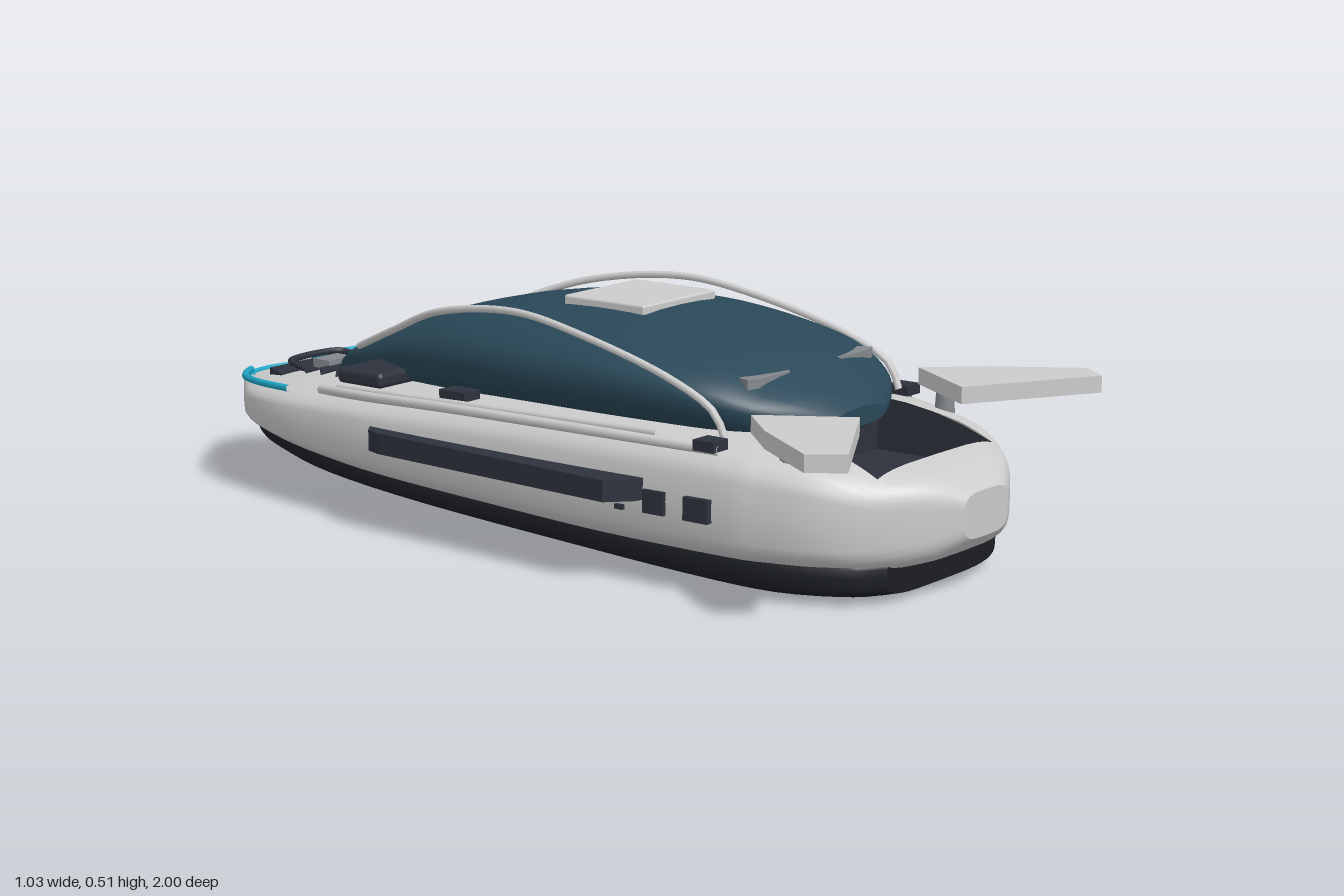
import * as THREE from 'three';
import { RoundedBoxGeometry } from 'three/addons/geometries/RoundedBoxGeometry.js';

const paint = (color) => new THREE.MeshStandardMaterial({ color });

export function createModel() {
  const group = new THREE.Group();
  const grey = paint(0xcccccc), dark = paint(0x2d323c), keelPaint = paint(0x1b1e24);
  const glass = paint(0x2a4858), cyan = paint(0x1fa9c9), lampGrey = paint(0x85898d);
  const hullPaint = paint(0xcccccc);
  hullPaint.side = dark.side = THREE.DoubleSide;

  const add = (name, geo, mat, x = 0, y = 0, z = 0) => {
    const m = new THREE.Mesh(geo, mat);
    m.name = name;
    m.position.set(x, y, z);
    group.add(m);
    return m;
  };

  // Catmull-Rom refinement of section rows
  const refine = (rows, n) => {
    const out = [];
    for (let i = 0; i < rows.length - 1; i++) {
      const [a, b, c, d] = [-1, 0, 1, 2].map((k) => rows[Math.min(Math.max(i + k, 0), rows.length - 1)]);
      for (let s = 0; s < n; s++) {
        const t = s / n;
        out.push(b.map((v, k) => v + 0.5 * t * (c[k] - a[k] + t * (2 * a[k] - 5 * v + 4 * c[k] - d[k]
          + t * (3 * (v - c[k]) + d[k] - a[k])))));
      }
    }
    out.push(rows[rows.length - 1]);
    return out;
  };

  // Superellipse sections [z, halfWidth, bottom, widest, top], from bow plate to tail.
  // Ring points 6..14 span the deck, so a well can be left open there.
  const loft = (rows, power, wellFrom, wellTo) => {
    const secs = refine(rows, 4), pos = [], index = [], N = 36;
    const ring = ([z, w, yb, ym, yt]) => {
      const a0 = Math.acos(Math.pow(Math.min(0.21, 0.85 * w) / w, power / 2));
      for (let i = 0; i < N; i++) {
        let a = Math.PI + (Math.PI * (i - 20)) / 16;
        if (i < 6) a = (a0 * i) / 6;
        else if (i < 14) a = a0 + ((Math.PI - 2 * a0) * (i - 6)) / 8;
        else if (i < 20) a = Math.PI - (a0 * (20 - i)) / 6;
        const f = (v) => Math.sign(v) * Math.pow(Math.abs(v), 2 / power);
        const s = f(Math.sin(a));
        pos.push(w * f(Math.cos(a)), ym + s * (s > 0 ? yt - ym : ym - yb), z);
      }
    };
    secs.forEach(ring);
    for (let r = 0; r < secs.length - 1; r++) {
      const zm = (secs[r][0] + secs[r + 1][0]) / 2;
      for (let i = 0; i < N; i++) {
        if (i >= 6 && i < 14 && zm < wellFrom && zm > wellTo) continue;
        const j = (i + 1) % N, p = r * N, q = p + N;
        index.push(p + i, q + i, p + j, p + j, q + i, q + j);
      }
    }
    // Flat end caps
    for (const [sec, front] of [[secs[0], true], [secs[secs.length - 1], false]]) {
      const start = pos.length / 3;
      ring(sec);
      pos.push(0, sec[3], sec[0]);
      for (let i = 0; i < N; i++) {
        const j = (i + 1) % N;
        index.push(start + N, start + (front ? i : j), start + (front ? j : i));
      }
    }
    const g = new THREE.BufferGeometry();
    g.setAttribute('position', new THREE.Float32BufferAttribute(pos, 3));
    g.setIndex(index);
    g.computeVertexNormals();
    return g;
  };

  // Flat plate from an [x, z] outline
  const plate = (pts, height, s = 1) => {
    const shape = new THREE.Shape(pts.map(([x, z]) => new THREE.Vector2(s * x, -z)));
    return new THREE.ExtrudeGeometry(shape, { depth: height, bevelEnabled: false }).rotateX(-Math.PI / 2);
  };
  const tube = (pts, radius, s = 1) => new THREE.TubeGeometry(
    new THREE.CatmullRomCurve3(pts.map(([x, y, z]) => new THREE.Vector3(s * x, y, z))), 40, radius, 8);

  // Hull with an open well in the fore deck
  add('hull', loft([
    [1, 0.08, 0.12, 0.17, 0.215], [0.95, 0.17, 0.08, 0.165, 0.25], [0.88, 0.26, 0.06, 0.165, 0.268],
    [0.8, 0.32, 0.053, 0.17, 0.293], [0.7, 0.356, 0.05, 0.175, 0.308], [0.6, 0.375, 0.05, 0.18, 0.317],
    [0.3, 0.386, 0.055, 0.185, 0.318], [0, 0.386, 0.07, 0.185, 0.308], [-0.3, 0.375, 0.085, 0.185, 0.288],
    [-0.5, 0.35, 0.1, 0.185, 0.272], [-0.65, 0.318, 0.115, 0.185, 0.256], [-0.8, 0.25, 0.13, 0.18, 0.237],
    [-0.9, 0.16, 0.14, 0.178, 0.218], [-0.97, 0.09, 0.147, 0.175, 0.205], [-1, 0.06, 0.15, 0.175, 0.2],
  ], 4, 0.88, 0.6), hullPaint);

  // Dark underbody
  add('keel', loft([
    [0.9, 0.2, 0.012, 0.06, 0.1], [0.84, 0.27, 0.005, 0.06, 0.1], [0.7, 0.325, 0.0, 0.06, 0.1],
    [0.5, 0.338, 0.006, 0.062, 0.1], [0.2, 0.34, 0.02, 0.075, 0.11], [-0.2, 0.335, 0.042, 0.09, 0.13],
    [-0.5, 0.31, 0.064, 0.105, 0.15], [-0.7, 0.25, 0.08, 0.12, 0.16], [-0.82, 0.19, 0.09, 0.133, 0.165],
    [-0.93, 0.1, 0.12, 0.145, 0.17],
  ], 4), keelPaint);

  // Lining of the well: a box without its lid, its rim following the deck
  const well = new THREE.BoxGeometry(0.42, 0.1, 0.28, 1, 1, 4).translate(0, 0.25, 0.74);
  const wp = well.attributes.position, lid = well.groups[2];
  for (let i = 0; i < wp.count; i++) {
    const t = (wp.getZ(i) - 0.6) / 0.28;
    wp.setY(i, wp.getY(i) > 0.25 ? 0.313 - 0.058 * t * t : 0.2);
  }
  well.setIndex([...well.index.array].filter((_, i) => i < lid.start || i >= lid.start + lid.count));
  well.clearGroups();
  add('foreDeckWell', well, dark);

  // Glazed canopy
  add('canopy', loft([
    [0.7, 0.09, 0.3, 0.32, 0.34], [0.66, 0.17, 0.28, 0.335, 0.375], [0.6, 0.245, 0.27, 0.35, 0.405],
    [0.5, 0.3, 0.27, 0.37, 0.45], [0.35, 0.325, 0.27, 0.38, 0.482], [0.2, 0.33, 0.27, 0.38, 0.5],
    [0, 0.32, 0.27, 0.375, 0.497], [-0.2, 0.275, 0.26, 0.36, 0.468], [-0.4, 0.195, 0.25, 0.33, 0.413],
    [-0.55, 0.125, 0.24, 0.3, 0.355], [-0.65, 0.075, 0.24, 0.28, 0.31], [-0.69, 0.055, 0.24, 0.26, 0.285],
  ], 2.3), glass);
  add('roofHatch', new RoundedBoxGeometry(0.25, 0.024, 0.215, 2, 0.006), grey, 0, 0.5, 0.13);

  for (const s of [1, -1]) {
    const side = s > 0 ? 'left' : 'right';

    // Fore wings and their pivots
    add(side + 'Wing', plate([[0.3, 0.64], [0.185, 0.82], [0.466, 0.985], [0.517, 0.92], [0.4, 0.745]], 0.036, s),
      grey, 0, 0.33, 0);
    add(side + 'WingPivot', new THREE.CylinderGeometry(0.018, 0.022, 0.07, 12), lampGrey, s * 0.28, 0.305, 0.72);

    // Lamps on the canopy nose
    add(side + 'Lamp', plate([[0.205, 0.525], [0.222, 0.575], [0.2, 0.585], [0.09, 0.585], [0.085, 0.565],
      [0.16, 0.55]], 0.03, s), lampGrey, 0, 0.384, 0);

    // Side sponsons
    add(side + 'Sponson', plate([[0.36, -0.32], [0.4, -0.29], [0.413, -0.25], [0.448, 0.385], [0.4, 0.43],
      [0.36, 0.44]], 0.045, s), dark, 0, 0.178, 0);

    // Portholes
    for (const [z, size] of [[0.57, 0.06], [0.465, 0.052]]) {
      add(side + 'Porthole', new THREE.BoxGeometry(0.03, 0.048, size), dark, s * 0.374, 0.178, z);
    }
    add(side + 'SmallVent', new THREE.BoxGeometry(0.03, 0.01, 0.02), dark, s * 0.376, 0.157, 0.38);

    // Canopy rail arching from the deck to the tail
    add(side + 'CanopyRail', tube([[0.31, 0.31, 0.585], [0.312, 0.36, 0.56], [0.31, 0.41, 0.46],
      [0.3, 0.476, 0.2], [0.283, 0.497, 0.02], [0.245, 0.465, -0.22], [0.175, 0.39, -0.42],
      [0.09, 0.32, -0.6]], 0.008, s), grey);

    // Deck rails along the gunwale
    add(side + 'GunwaleRail', tube([[0.29, 0.262, -0.53], [0.35, 0.28, -0.34], [0.388, 0.297, -0.1],
      [0.395, 0.303, 0.15], [0.383, 0.303, 0.4], [0.35, 0.297, 0.6]], 0.011, s), grey);
    add(side + 'InnerRail', tube([[0.3, 0.275, -0.47], [0.34, 0.292, -0.2], [0.36, 0.305, 0.1],
      [0.355, 0.312, 0.45]], 0.009, s), grey);
    add(side + 'Cleat', new THREE.BoxGeometry(0.05, 0.022, 0.05), dark, s * 0.345, 0.305, 0.575);
    add(side + 'DeckClip', new THREE.BoxGeometry(0.05, 0.02, 0.07), dark, s * 0.31, 0.31, -0.11);

    // Light strip round the tail
    add(side + 'LightStrip', tube([[0.33, 0.262, -0.59], [0.3, 0.256, -0.71], [0.25, 0.248, -0.8],
      [0.17, 0.235, -0.88], [0.1, 0.225, -0.935]], 0.008, s), cyan);
  }
  add('tailLightStrip', tube([[0.11, 0.208, -0.92], [0.06, 0.204, -0.97], [0, 0.203, -0.985],
    [-0.06, 0.204, -0.97], [-0.11, 0.208, -0.92]], 0.008), cyan);

  // Aft deck: crossbar, stepped slats, step plate, grab handle and locker
  add('aftCrossbar', new RoundedBoxGeometry(0.58, 0.035, 0.13, 2, 0.012), dark, 0, 0.3, -0.42);
  add('stepPlate', plate([[-0.12, -0.855], [0.12, -0.855], [0.15, -0.79], [-0.15, -0.79]], 0.02), dark, 0, 0.222, -0.0);
  for (let i = 0; i < 4; i++) {
    const z = -0.745 + i * 0.065, w = 0.13 + i * 0.02;
    for (const s of [1, -1]) {
      add('slat', plate([[0, z - 0.03], [w * 0.7, z - 0.03], [w, z + 0.015], [0.03, z + 0.005]], 0.012, s),
        dark, 0, 0.238 + i * 0.008, 0);
    }
  }
  add('grabHandle', tube([[-0.09, 0.235, -0.73], [-0.09, 0.25, -0.79], [-0.08, 0.255, -0.825],
    [0.08, 0.255, -0.825], [0.09, 0.25, -0.79], [0.09, 0.235, -0.73]], 0.008), dark);
  add('aftLocker', new THREE.BoxGeometry(0.08, 0.03, 0.05), lampGrey, -0.04, 0.255, -0.73);

  return group;
}
